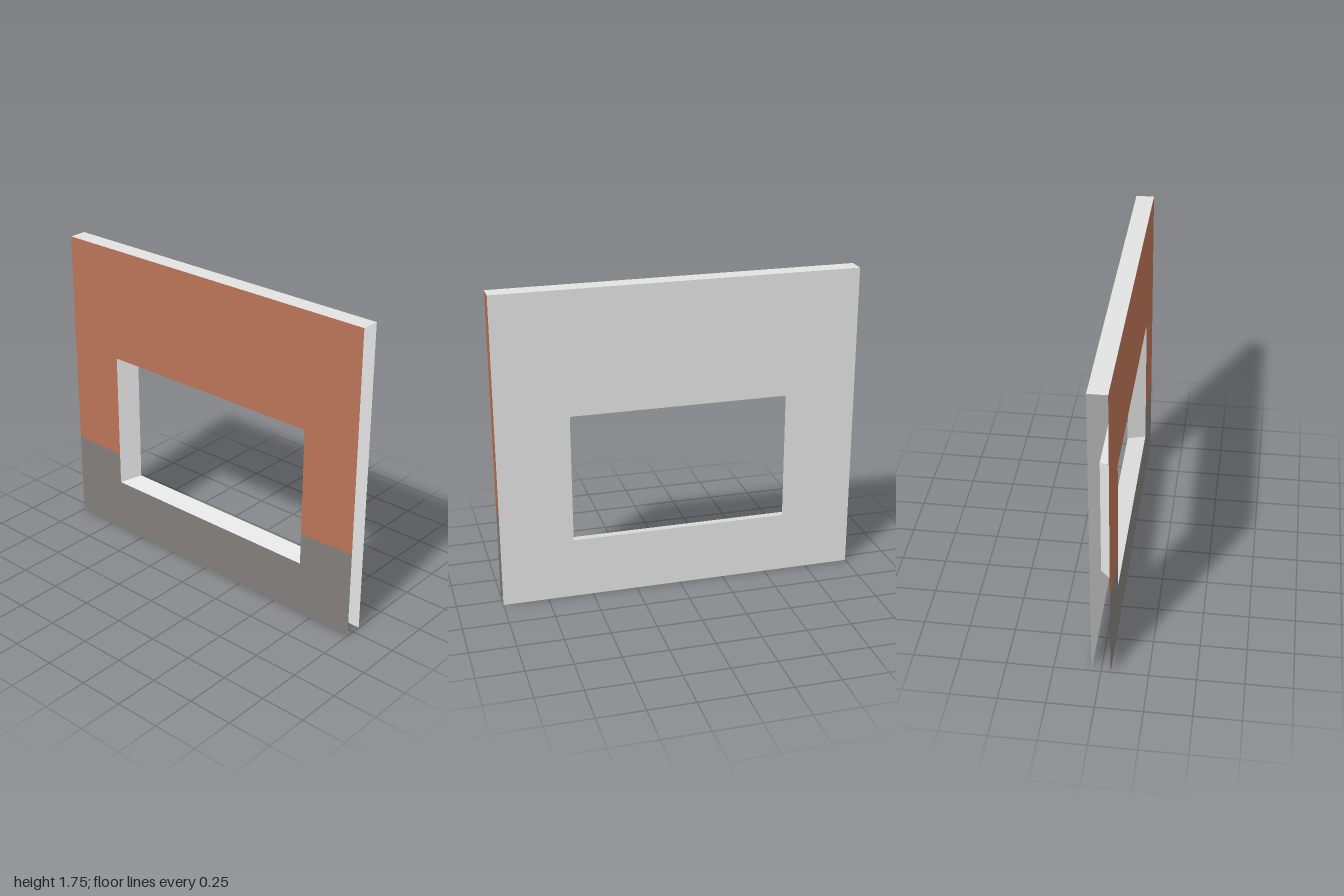
import * as THREE from 'three';

const H = 1.75, Z = 0.05;
// Window opening: wide at the front, narrower at the back
const front = { x: 0.67, y0: 0.31, y1: 1.105 };
const back = { x: 0.6, y0: 0.34, y1: 1.06 };

function material(name, color) {
  const m = new THREE.MeshStandardMaterial({ color, side: THREE.DoubleSide });
  m.name = name;
  return m;
}

function outline(points) {
  return new THREE.Shape(points.map(([x, y]) => new THREE.Vector2(x, y)));
}

function corners({ x, y0, y1 }, z) {
  return [[-x, y0, z], [x, y0, z], [x, y1, z], [-x, y1, z]];
}

// Single flat four-cornered face
function quad(a, b, c, d) {
  const g = new THREE.BufferGeometry();
  g.setAttribute('position', new THREE.Float32BufferAttribute([a, b, c, a, c, d].flat(), 3));
  g.computeVertexNormals();
  return g;
}

export function createModel() {
  const group = new THREE.Group();
  group.name = 'windowWall';
  const brick = material('brick red', 0xba7357);
  const stone = material('stone grey', 0x827d7a);
  const plaster = material('light grey', 0xe2e2e2);

  const add = (name, geometry, mat) => {
    const mesh = new THREE.Mesh(geometry, mat);
    mesh.name = name;
    group.add(mesh);
    return mesh;
  };

  // Front sheet: brick above, stone plinth below, meeting at a slightly sloping line
  const edgeY = 0.505, jambY = 0.492, { x, y0, y1 } = front;
  const seam = [[-1, edgeY], [-x, jambY]];
  const seamRight = [[x, jambY], [1, edgeY]];
  const upper = outline([...seam, [-x, y1], [x, y1], ...seamRight, [1, H], [-1, H]]);
  const lower = outline([[-1, 0], [1, 0], [1, edgeY], [x, jambY], [x, y0], [-x, y0], [-x, jambY], [-1, edgeY]]);
  add('brickFront', new THREE.ShapeGeometry(upper), brick).position.z = Z;
  add('stonePlinth', new THREE.ShapeGeometry(lower), stone).position.z = Z;

  // Back sheet with the smaller opening
  const rear = outline([[-1, 0], [1, 0], [1, H], [-1, H]]);
  rear.holes.push(outline(corners(back, 0).reverse()));
  const rearGeometry = new THREE.ShapeGeometry(rear);
  rearGeometry.rotateY(Math.PI);
  add('backWall', rearGeometry, plaster).position.z = -Z;

  // Top cap; the ends and underside stay open
  add('topCap', quad([-1, H, Z], [1, H, Z], [1, H, -Z], [-1, H, -Z]), plaster);

  // Splayed reveals joining the two openings
  const f = corners(front, Z), b = corners(back, -Z);
  ['windowSill', 'leftReveal', 'windowHead', 'rightReveal'].forEach((name, i) => {
    const j = (i + 1) % 4;
    add(name, quad(f[i], f[j], b[j], b[i]), plaster);
  });

  return group;
}
